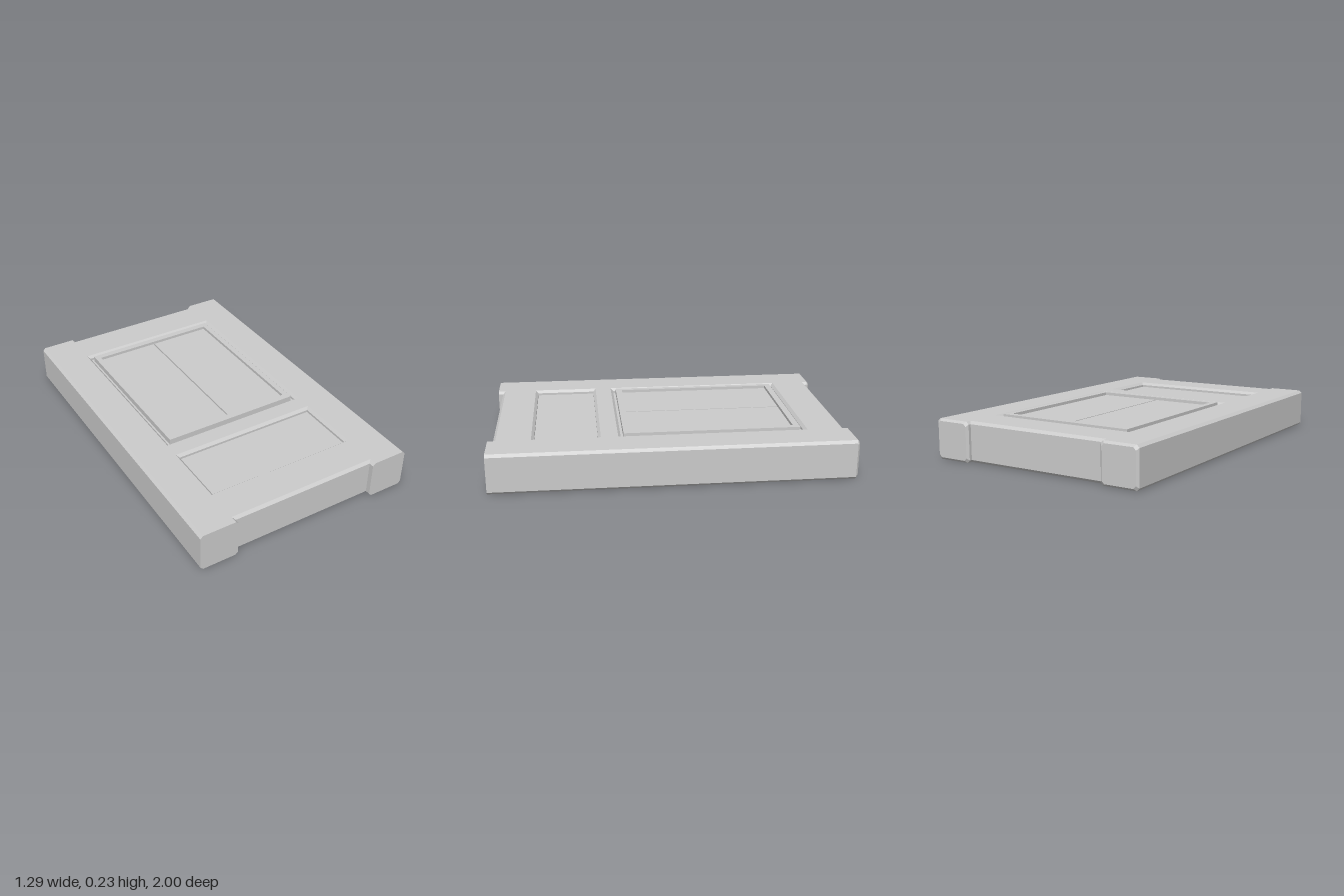
import * as THREE from 'three';

const H = 0.225;   // slab thickness
const C = 0.015;   // chamfer

const mat = new THREE.MeshStandardMaterial({ color: 0xcccccc, flatShading: true });

function add(group, name, geometry) {
  const mesh = new THREE.Mesh(geometry, mat);
  mesh.name = name;
  group.add(mesh);
  return mesh;
}

// Octagonal section: a rectangle with cut corners, centred on the origin
function chamferedRect(w, h, c) {
  const a = w / 2, b = h / 2;
  return new THREE.Shape([
    [-a + c, -b], [a - c, -b], [a, -b + c], [a, b - c],
    [a - c, b], [-a + c, b], [-a, b - c], [-a, -b + c],
  ].map(([x, y]) => new THREE.Vector2(x, y)));
}

// Long side beam; only its back end is chamfered
function stileGeometry(w, length) {
  const g = new THREE.ExtrudeGeometry(chamferedRect(w, H, C), { depth: length, steps: 2, bevelEnabled: false });
  g.translate(0, 0, -length / 2);
  const p = g.attributes.position;
  for (let i = 0; i < p.count; i++) {
    const x = p.getX(i), y = p.getY(i), z = p.getZ(i);
    if (Math.abs(z) < 0.01) p.setZ(i, -length / 2 + 0.012);
    else if (z < 0) p.setXYZ(i, x - Math.sign(x) * 0.012, y - Math.sign(y) * 0.012, z);
  }
  g.computeVertexNormals();
  return g;
}

// Cross beam between z0 and z1
function railGeometry(z0, z1, length) {
  const g = new THREE.ExtrudeGeometry(chamferedRect(z1 - z0, H, C), { depth: length, bevelEnabled: false });
  g.translate(0, 0, -length / 2);
  g.rotateY(-Math.PI / 2);
  g.translate(0, H / 2, (z0 + z1) / 2);
  return g;
}

// Box given by its limits
function boxGeometry(x0, x1, y0, y1, z0, z1) {
  return new THREE.BoxGeometry(x1 - x0, y1 - y0, z1 - z0)
    .translate((x0 + x1) / 2, (y0 + y1) / 2, (z0 + z1) / 2);
}

// Flat rectangular ring lying in the xz plane
function frameGeometry(ox, oz0, oz1, ix, iz0, iz1, y0, y1) {
  const rect = (T, x, z0, z1) => new T([
    new THREE.Vector2(-x, -z1), new THREE.Vector2(x, -z1),
    new THREE.Vector2(x, -z0), new THREE.Vector2(-x, -z0),
  ]);
  const s = rect(THREE.Shape, ox, oz0, oz1);
  s.holes.push(rect(THREE.Path, ix, iz0, iz1));
  const g = new THREE.ExtrudeGeometry(s, { depth: y1 - y0, bevelEnabled: false });
  g.rotateX(-Math.PI / 2);
  g.translate(0, y0, 0);
  return g;
}

export function createModel() {
  const model = new THREE.Group();
  model.name = 'panelledDoor';

  // Side beams
  for (const s of [1, -1]) {
    const stile = add(model, s > 0 ? 'leftStile' : 'rightStile', stileGeometry(0.22, 2));
    stile.position.set(s * 0.535, H / 2, 0);
  }

  // Cross beams
  const rails = { backRail: [-0.972, -0.745], middleRail: [0.28, 0.405], frontRail: [0.752, 0.972] };
  for (const [name, [z0, z1]] of Object.entries(rails)) add(model, name, railGeometry(z0, z1, 0.88));

  // Recessed panels, sunk on both faces
  add(model, 'largePanel', boxGeometry(-0.43, 0.43, 0.03, 0.197, -0.75, 0.285));
  add(model, 'smallPanel', boxGeometry(-0.43, 0.43, 0.03, 0.197, 0.4, 0.757));

  // Raised frame with two leaves parted by a narrow groove
  add(model, 'raisedFrame', frameGeometry(0.407, -0.728, 0.264, 0.374, -0.692, 0.226, 0.19, 0.23));
  for (const s of [1, -1]) {
    const x0 = s > 0 ? 0.004 : -0.38, x1 = s > 0 ? 0.38 : -0.004;
    add(model, s > 0 ? 'leftLeaf' : 'rightLeaf', boxGeometry(x0, x1, 0.19, 0.213, -0.7, 0.234));
  }
  return model;
}
